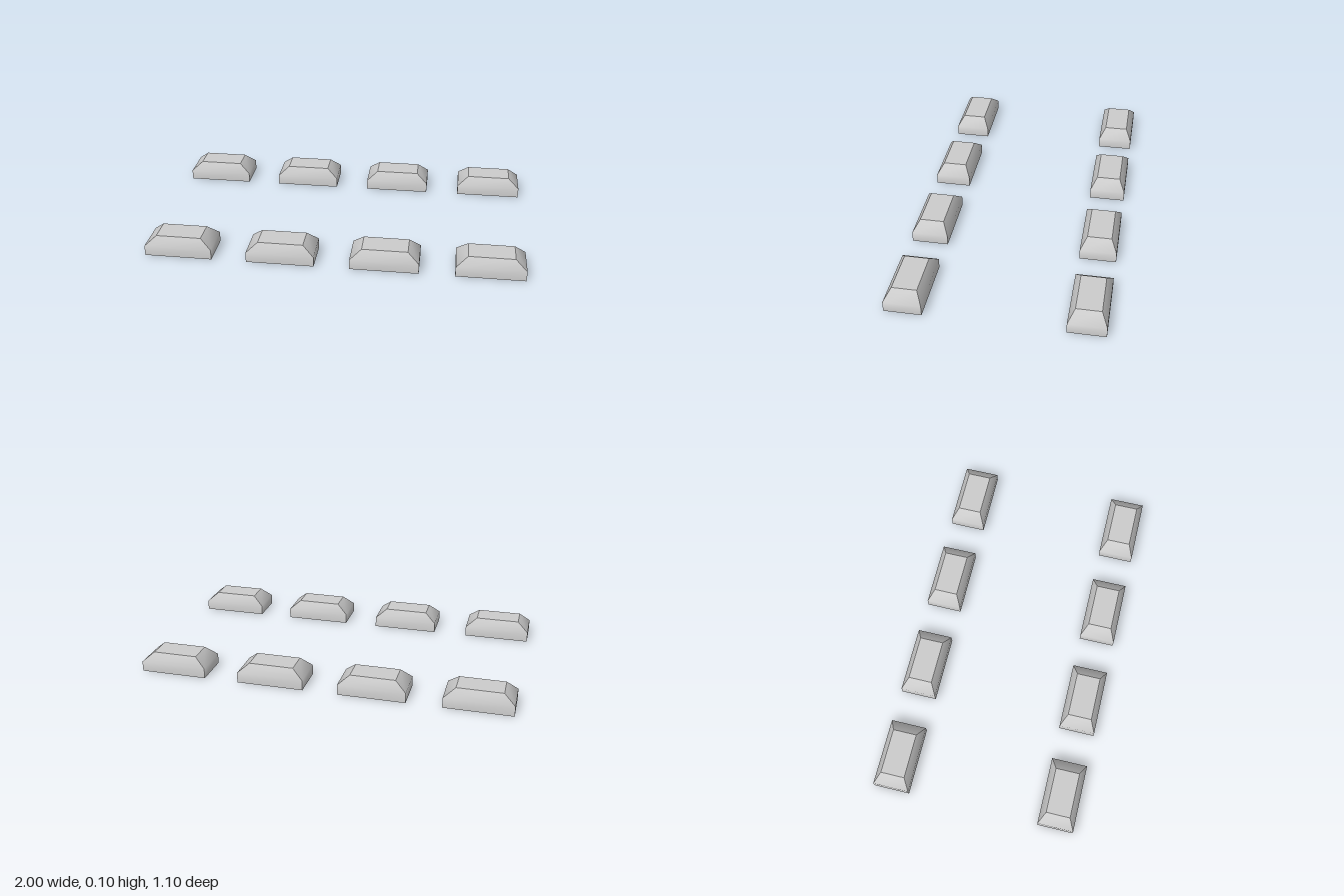
import * as THREE from 'three';

// Cross-sections of one block: [half width, y, half depth]
const RINGS = [[0.18, 0, 0.097], [0.18, 0.055, 0.097], [0.12, 0.105, 0.0645]];
// Corner signs, counter-clockwise seen from above
const CORNERS = [[-1, 1], [1, 1], [1, -1], [-1, -1]];

function createBlockGeometry() {
  const positions = [];
  const indices = [];
  const corner = ([w, y, d], i) => {
    const [sx, sz] = CORNERS[i % 4];
    return [sx * w, y, sz * d];
  };
  const addQuad = (a, b, c, d) => indices.push(a, b, c, a, c, d);

  // Each side has its own vertices: sharp corners, smooth wall-to-bevel shading
  for (let side = 0; side < 4; side++) {
    const start = positions.length / 3;
    for (const ring of RINGS) positions.push(...corner(ring, side), ...corner(ring, side + 1));
    for (let r = 0; r < RINGS.length - 1; r++) {
      const k = start + r * 2;
      addQuad(k, k + 1, k + 3, k + 2);
    }
  }

  // Flat top and underside
  for (const [ring, order] of [[RINGS[2], [0, 1, 2, 3]], [RINGS[0], [3, 2, 1, 0]]]) {
    const k = positions.length / 3;
    for (const i of order) positions.push(...corner(ring, i));
    addQuad(k, k + 1, k + 2, k + 3);
  }

  const geometry = new THREE.BufferGeometry();
  geometry.setAttribute('position', new THREE.Float32BufferAttribute(positions, 3));
  geometry.setIndex(indices);
  geometry.computeVertexNormals();
  return geometry;
}

export function createModel() {
  const model = new THREE.Group();
  model.name = 'bevelledBlocks';
  const geometry = createBlockGeometry();
  const material = new THREE.MeshStandardMaterial({ color: 0xcccccc });

  // Two rows of four evenly spaced blocks
  for (const [rowName, z] of [['frontRow', 0.454], ['backRow', -0.454]]) {
    const row = new THREE.Group();
    row.name = rowName;
    row.position.z = z;
    for (let i = 0; i < 4; i++) {
      const block = new THREE.Mesh(geometry, material);
      block.name = `block${i + 1}`;
      block.position.x = -0.82 + (i * 1.64) / 3;
      row.add(block);
    }
    model.add(row);
  }
  return model;
}
